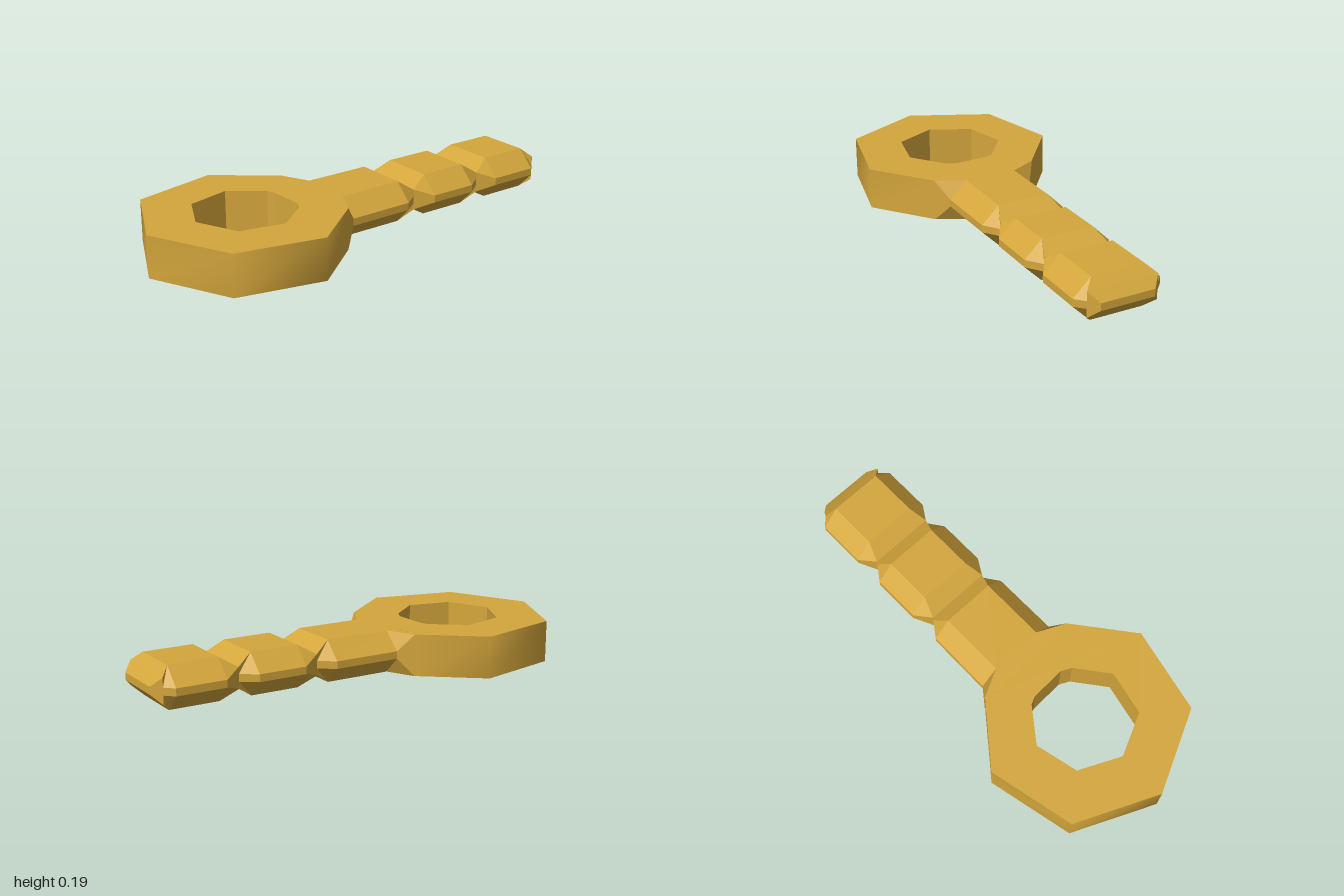
import * as THREE from 'three';

const H = 0.187; // plate thickness
const MID_HI = 0.11, MID_LO = H - MID_HI;

// Outline points are [x, z]
const outer = [[-0.198, 0.253], [-0.46, 0.445], [-0.84, 0.345], [-1, -0.02],
  [-0.82, -0.375], [-0.43, -0.45], [-0.182, -0.237]];
const hole = [[-0.775, -0.015], [-0.68, -0.195], [-0.485, -0.235], [-0.345, -0.12], [-0.33, -0.085],
  [-0.33, 0.075], [-0.355, 0.12], [-0.5, 0.225], [-0.695, 0.175]];

function geometryFrom(positions, index) {
  const g = new THREE.BufferGeometry();
  g.setAttribute('position', new THREE.Float32BufferAttribute(positions, 3));
  g.setIndex(index);
  return g;
}

// Vertical wall along a line of points
function wall(points, smooth) {
  const pos = [], index = [];
  points.forEach(([x, z], i) => {
    pos.push(x, 0, z, x, H, z);
    if (i) {
      const a = 2 * i - 2, b = 2 * i;
      index.push(b, a, a + 1, b, a + 1, b + 1);
    }
  });
  let g = geometryFrom(pos, index);
  if (!smooth) g = g.toNonIndexed();
  g.computeVertexNormals();
  return g;
}

// Flat face of the ring
function ringFace() {
  const toVec = ([x, z]) => new THREE.Vector2(x, -z);
  const shape = new THREE.Shape(outer.map(toVec));
  shape.holes.push(new THREE.Path(hole.map(toVec)));
  return new THREE.ShapeGeometry(shape).rotateX(-Math.PI / 2);
}

// Bevelled shank lofted through sections: [distance along axis, top height, top half width, middle half width]
function shank() {
  const sections = [
    [-0.19, H, 0.246, 0.246],   // meets the ring
    [-0.128, H, 0.12, 0.2],
    [0.175, H, 0.12, 0.198],
    [0.245, 0.14, 0.148, 0.148], // first notch
    [0.325, H, 0.12, 0.198],
    [0.545, H, 0.12, 0.198],
    [0.615, 0.14, 0.148, 0.148], // second notch
    [0.692, H, 0.12, 0.198],
    [0.917, H, 0.12, 0.198],
    [0.956, 0.15, 0.16, 0.16],   // chamfered tip
    [0.996, MID_HI, 0.122, 0.122],
  ];
  const slope = 0.034; // the shank runs slightly askew
  const pos = [], index = [];
  sections.forEach(([u, top, wt, wm], s) => {
    const corners = [[top, -wt], [top, wt], [MID_HI, wm], [MID_LO, wm],
      [H - top, wt], [H - top, -wt], [MID_LO, -wm], [MID_HI, -wm]];
    corners.forEach(([y, w]) => pos.push(u - slope * w, y, 0.014 + slope * u + w));
    if (s === 0) return;
    for (let j = 0; j < 8; j++) {
      const k = (j + 1) % 8, a = 8 * (s - 1), b = 8 * s;
      if (j === 3 || j === 7) index.push(a + j, a + k, b + j, a + k, b + k, b + j);
      else index.push(a + j, a + k, b + k, a + j, b + k, b + j);
    }
  });
  // End cap
  const e = 8 * (sections.length - 1);
  for (let j = 1; j < 7; j++) index.push(e, e + j, e + j + 1);
  const g = geometryFrom(pos, index).toNonIndexed();
  g.computeVertexNormals();
  return g;
}

export function createModel() {
  const brass = new THREE.MeshStandardMaterial({ color: 0xd4a63c });
  brass.name = 'brass';
  const model = new THREE.Group();
  model.name = 'ringKey';
  const add = (name, geometry, parent) => {
    const mesh = new THREE.Mesh(geometry, brass);
    mesh.name = name;
    parent.add(mesh);
    return mesh;
  };

  // Ring handle
  const ring = new THREE.Group();
  ring.name = 'ringHandle';
  add('ringTop', ringFace().translate(0, H, 0), ring);
  const bottom = ringFace();
  const idx = bottom.index.array;
  for (let i = 0; i < idx.length; i += 3) [idx[i], idx[i + 1]] = [idx[i + 1], idx[i]];
  bottom.computeVertexNormals();
  add('ringBottom', bottom, ring);
  add('ringOuterWall', wall(outer, true), ring);
  add('ringHoleWall', wall([...hole, hole[0]].reverse(), false), ring);
  model.add(ring);

  // Notched shank
  add('notchedShank', shank(), model);
  return model;
}
